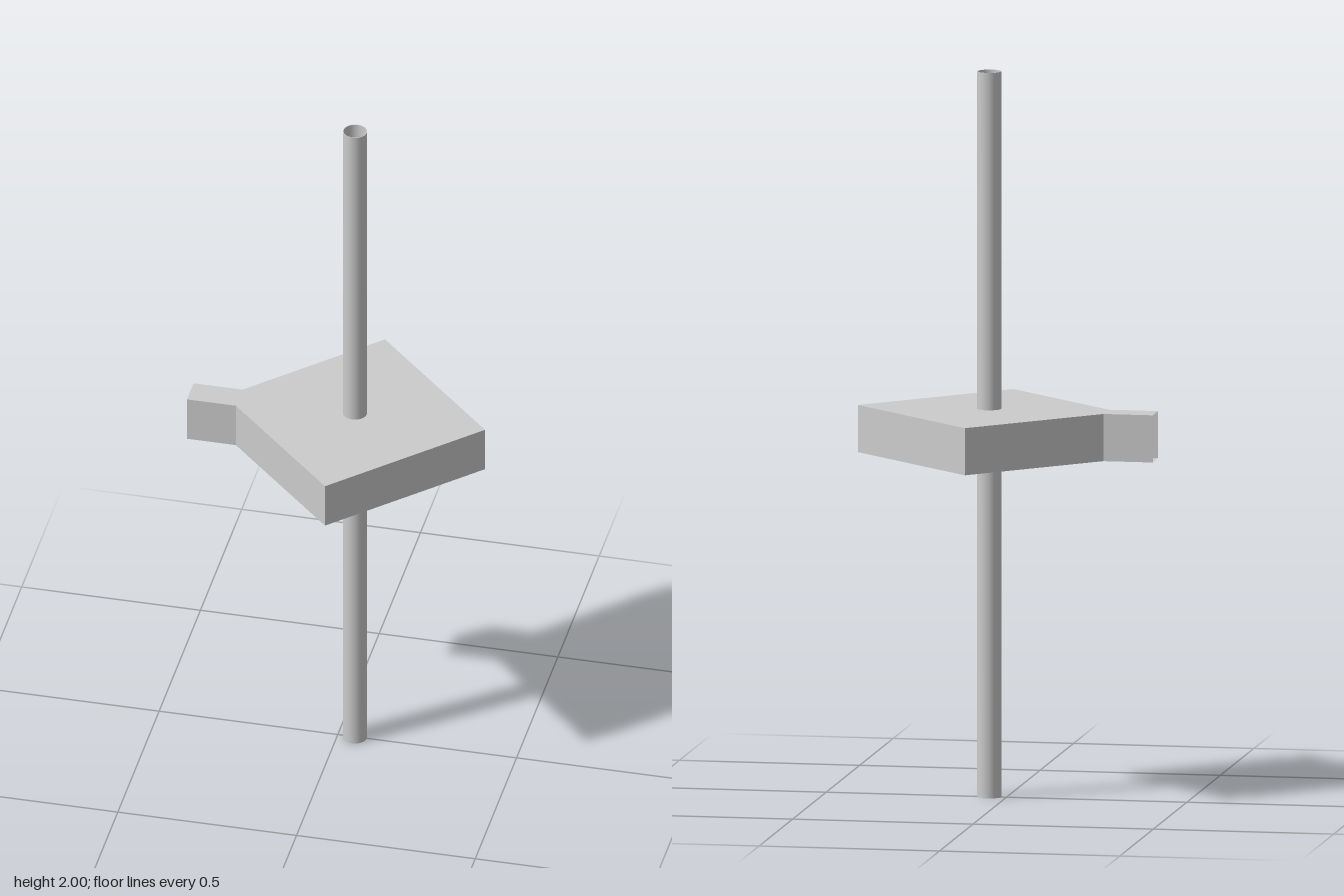
import * as THREE from 'three';

const AXIS_X = 0.048, HALF = 0.364, ARM_Z = 0.04, ARM_END = -0.413;
const BOTTOM = 0.94, TOP = 1.07, PIPE_R = 0.033, PIPE_INNER = 0.031;

export function createModel() {
  const model = new THREE.Group();
  const material = new THREE.MeshStandardMaterial({ color: 0xcccccc, side: THREE.DoubleSide });
  const flat = material.clone();
  flat.flatShading = true;

  const add = (name, geometry, mat = flat) => {
    const mesh = new THREE.Mesh(geometry, mat);
    mesh.name = name;
    model.add(mesh);
    return mesh;
  };

  // Outline of the diamond housing and its arm, starting and ending at the open arm mouth
  const neckX = AXIS_X - HALF + ARM_Z;
  const outline = [
    [ARM_END, -ARM_Z], [neckX, -ARM_Z], [AXIS_X, -HALF], [AXIS_X + HALF, 0],
    [AXIS_X, HALF], [neckX, ARM_Z], [ARM_END, ARM_Z],
  ].map(([x, y]) => new THREE.Vector2(x, y));

  // Top and bottom plates, pierced by the pipe
  const plate = new THREE.Shape(outline);
  plate.holes.push(new THREE.Path().absarc(AXIS_X, 0, PIPE_R, 0, Math.PI * 2, true));
  for (const [name, y, turn] of [['topPlate', TOP, -1], ['bottomPlate', BOTTOM, 1]]) {
    const geometry = new THREE.ShapeGeometry(plate, 16);
    geometry.rotateX(turn * Math.PI / 2);
    add(name, geometry).position.y = y;
  }

  // Side walls follow the outline and leave the arm mouth open
  const positions = [];
  for (let i = 0; i < outline.length - 1; i++) {
    const a = outline[i], b = outline[i + 1];
    const a0 = [a.x, BOTTOM, -a.y], a1 = [a.x, TOP, -a.y];
    const b0 = [b.x, BOTTOM, -b.y], b1 = [b.x, TOP, -b.y];
    positions.push(...a0, ...b0, ...b1, ...a0, ...b1, ...a1);
  }
  const walls = new THREE.BufferGeometry();
  walls.setAttribute('position', new THREE.Float32BufferAttribute(positions, 3));
  walls.computeVertexNormals();
  add('sideWalls', walls);

  // Long thin-walled pipe through the housing, open at both ends
  const pipe = new THREE.Group();
  pipe.name = 'pipe';
  pipe.position.x = AXIS_X;
  for (const [name, r] of [['pipeOuterWall', PIPE_R], ['pipeInnerWall', PIPE_INNER]]) {
    const mesh = add(name, new THREE.CylinderGeometry(r, r, 2, 32, 1, true), material);
    mesh.position.y = 1;
    pipe.add(mesh);
  }
  for (const [name, y, turn] of [['topRim', 2, -1], ['bottomRim', 0, 1]]) {
    const rim = new THREE.RingGeometry(PIPE_INNER, PIPE_R, 32);
    rim.rotateX(turn * Math.PI / 2);
    const mesh = add(name, rim);
    mesh.position.y = y;
    pipe.add(mesh);
  }
  model.add(pipe);

  return model;
}
